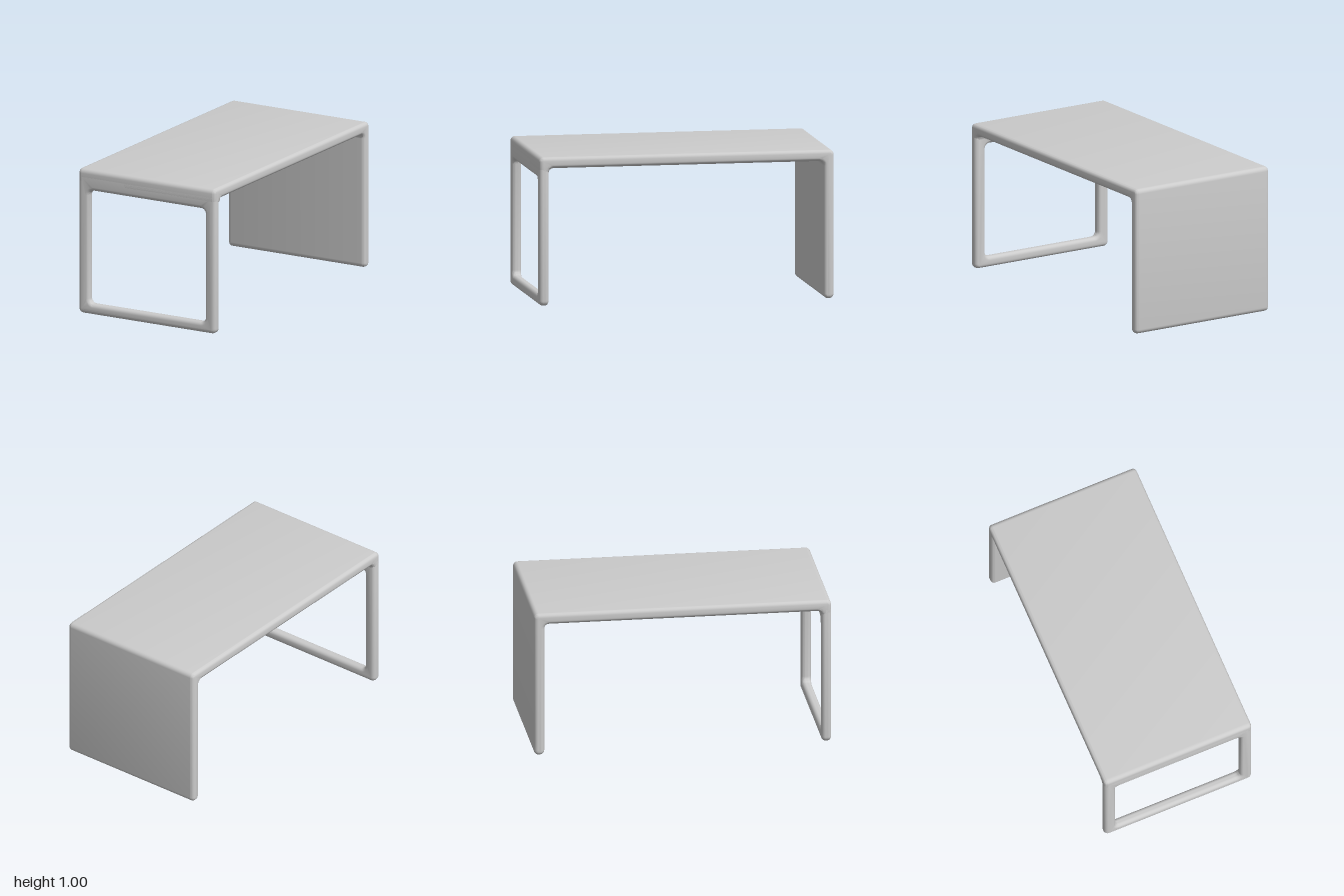
import * as THREE from 'three';
import { toCreasedNormals } from 'three/addons/utils/BufferGeometryUtils.js';

const WIDTH = 1.066;
const BEVEL = 0.026;
const material = new THREE.MeshStandardMaterial({ color: 0xcccccc });

// Closed outline through corner points, each rounded by the given radius
function roundedOutline(path, corners, radius) {
  const pts = corners.map(([x, y]) => new THREE.Vector2(x, y));
  pts.forEach((p, i) => {
    const toward = (q, d) => p.clone().add(q.clone().sub(p).setLength(d));
    const prev = pts[(i + pts.length - 1) % pts.length];
    const next = pts[(i + 1) % pts.length];
    const a = toward(prev, radius), b = toward(next, radius);
    const c1 = toward(prev, radius * 0.45), c2 = toward(next, radius * 0.45);
    if (i === 0) path.moveTo(a.x, a.y);
    else path.lineTo(a.x, a.y);
    path.bezierCurveTo(c1.x, c1.y, c2.x, c2.y, b.x, b.y);
  });
  path.closePath();
  return path;
}

// Extrusion with soft edges that keeps the outline's size, centred in depth
function softExtrude(shape, depth, bevel) {
  const geometry = new THREE.ExtrudeGeometry(shape, {
    depth: depth - 2 * bevel, curveSegments: 6,
    bevelEnabled: true, bevelSegments: 6,
    bevelSize: bevel, bevelThickness: bevel, bevelOffset: -bevel,
  });
  geometry.translate(0, 0, bevel - depth / 2);
  return toCreasedNormals(geometry, 0.7);
}

function addMesh(group, name, geometry) {
  const mesh = new THREE.Mesh(geometry, material);
  mesh.name = name;
  group.add(mesh);
  return mesh;
}

export function createModel() {
  const group = new THREE.Group();
  group.name = 'desk';

  // Table top bending down into the solid back leg and the front frame
  const profile = roundedOutline(new THREE.Shape(), [
    [-1, 0], [-0.93, 0], [-0.93, 0.925], [0.935, 0.925],
    [0.935, 0.885], [1, 0.885], [1, 1], [-1, 1],
  ], 0.031);
  const top = softExtrude(profile, WIDTH, BEVEL);
  top.rotateY(-Math.PI / 2);
  addMesh(group, 'topAndBackPanel', top);

  // Open front leg frame, its upper rail merging into the top
  const w = WIDTH / 2;
  const frame = roundedOutline(new THREE.Shape(),
    [[-w, 0], [w, 0], [w, 0.97], [-w, 0.97]], 0.033);
  frame.holes.push(roundedOutline(new THREE.Path(),
    [[-0.452, 0.072], [-0.452, 0.855], [0.452, 0.855], [0.452, 0.072]], 0.035));
  addMesh(group, 'frontLegFrame', softExtrude(frame, 0.065, BEVEL)).position.z = 0.9675;

  return group;
}
